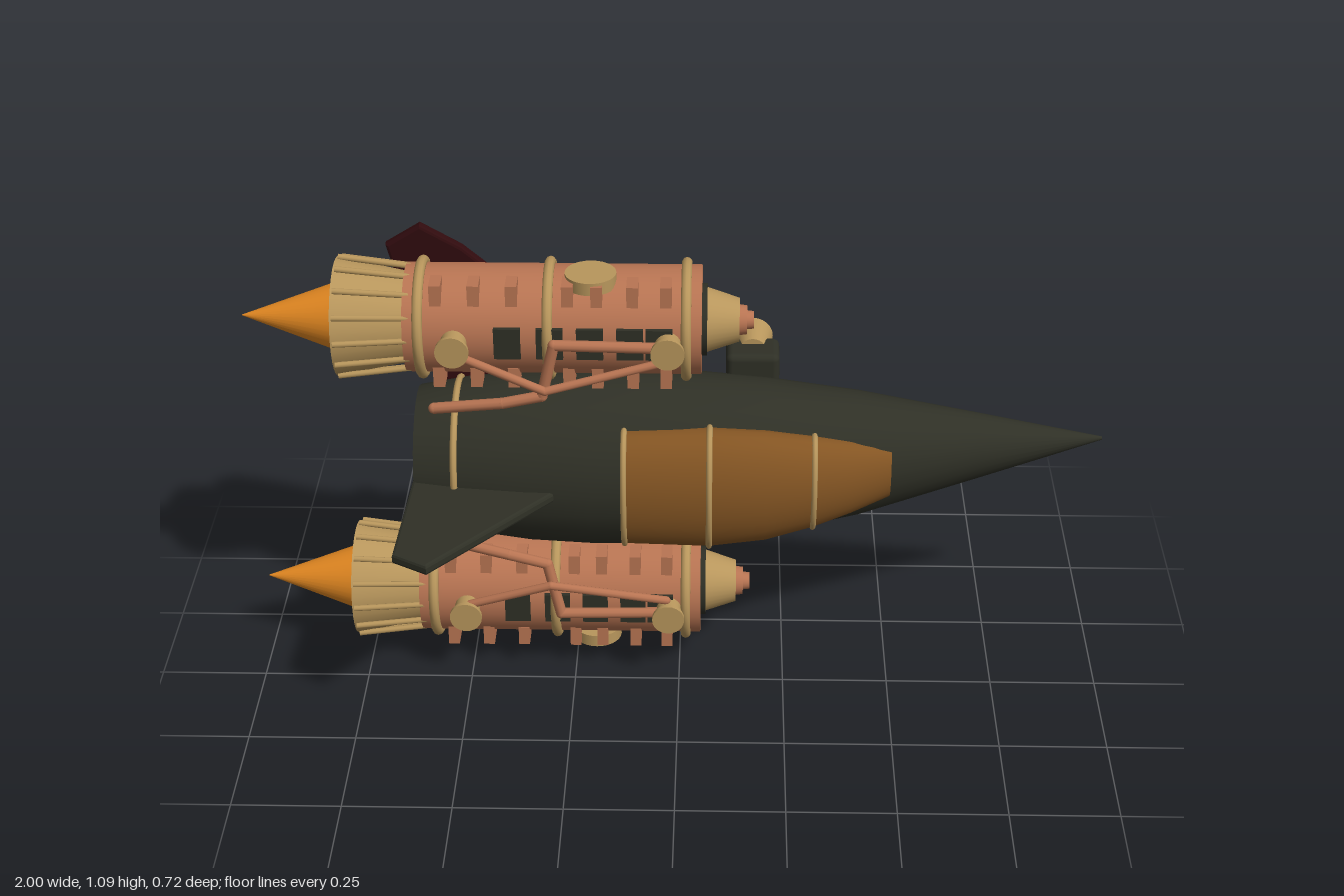
import * as THREE from 'three';
import { RoundedBoxGeometry } from 'three/addons/geometries/RoundedBoxGeometry.js';

const mat = (name, color, side = THREE.FrontSide) => {
  const m = new THREE.MeshStandardMaterial({ color, side });
  m.name = name;
  return m;
};
const dark = mat('dark hull', 0x2f3026);
const gold = mat('brass', 0xb8965c, THREE.DoubleSide);
const copper = mat('copper', 0xb97553);
const red = mat('dark red', 0x300b0e);
const amber = mat('amber glass', 0x845523);
const orange = mat('flame orange', 0xe68a22);

const MID = 0.5475; // mirror plane height

function add(parent, name, geo, material, x = 0, y = 0, z = 0) {
  const m = new THREE.Mesh(geo, material);
  m.name = name;
  m.position.set(x, y, z);
  parent.add(m);
  return m;
}

// Frustum along x, radius r0 at x0 and r1 at x1 (x0 < x1)
function frustumX(x0, r0, x1, r1, open = false) {
  return new THREE.CylinderGeometry(r1, r0, x1 - x0, 32, 1, open)
    .rotateZ(-Math.PI / 2).translate((x0 + x1) / 2, 0, 0);
}

// Frustum along z
function frustumZ(z0, r0, z1, r1) {
  return new THREE.CylinderGeometry(r1, r0, z1 - z0, 24)
    .rotateX(Math.PI / 2).translate(0, 0, (z0 + z1) / 2);
}

// Straight bar between two points
function rod(parent, name, a, b, r, material) {
  const p = new THREE.Vector3(...a), q = new THREE.Vector3(...b), d = q.clone().sub(p);
  const m = add(parent, name, new THREE.CylinderGeometry(r, r, d.length(), 10), material);
  m.position.copy(p).add(q).multiplyScalar(0.5);
  m.quaternion.setFromUnitVectors(new THREE.Vector3(0, 1, 0), d.normalize());
}

// Bent pipe with rounded joints
function pipe(parent, name, pts, r) {
  pts.forEach((p, i) => {
    add(parent, name + 'Joint', new THREE.SphereGeometry(r, 12, 8), copper, ...p);
    if (i) rod(parent, name, pts[i - 1], p, r, copper);
  });
}

// Skin over elliptical sections [x, centreZ, radiusY, radiusZ], closed at the rear
function loft(sections, n) {
  const pos = [], idx = [];
  const ring = ([x, cz, ry, rz]) => {
    for (let j = 0; j < n; j++) {
      const a = (j / n) * Math.PI * 2;
      pos.push(x, MID + ry * Math.cos(a), cz + rz * Math.sin(a));
    }
  };
  sections.forEach(ring);
  for (let i = 0; i < sections.length - 1; i++) {
    for (let j = 0; j < n; j++) {
      const a = i * n + j, b = i * n + (j + 1) % n;
      idx.push(a, b, a + n, b, b + n, a + n);
    }
  }
  // flat end caps with their own vertices
  [sections[0], sections[sections.length - 1]].forEach((s, end) => {
    const o = pos.length / 3;
    ring(s);
    for (let j = 1; j < n - 1; j++) {
      if (end) idx.push(o, o + j, o + j + 1);
      else idx.push(o, o + j + 1, o + j);
    }
  });
  const g = new THREE.BufferGeometry();
  g.setAttribute('position', new THREE.Float32BufferAttribute(pos, 3));
  g.setIndex(idx);
  g.computeVertexNormals();
  return g;
}

// Elliptical band round a section
function band([x, cz, ry, rz], r) {
  const pts = [];
  for (let j = 0; j < 24; j++) {
    const a = (j / 24) * Math.PI * 2;
    pts.push(new THREE.Vector3(x, MID + ry * Math.cos(a), cz + rz * Math.sin(a)));
  }
  return new THREE.TubeGeometry(new THREE.CatmullRomCurve3(pts, true), 48, r, 8, true);
}

function plate(points, thick) {
  const bevel = 0.007;
  return new THREE.ExtrudeGeometry(new THREE.Shape(points.map(p => new THREE.Vector2(...p))), {
    depth: thick - 2 * bevel, bevelThickness: bevel, bevelSize: bevel, bevelOffset: -bevel, bevelSegments: 2,
  }).translate(0, 0, bevel - thick / 2);
}

// Engine pod along x; s = +1 upper, -1 lower
function engine(s) {
  const g = new THREE.Group();
  g.name = s > 0 ? 'upperEngine' : 'lowerEngine';
  g.position.set(0, MID + s * 0.3575, -0.148);
  add(g, 'engineBody', frustumX(-0.62, 0.125, 0.05, 0.125), copper);
  for (const x of [-0.585, -0.295, 0.015]) {
    add(g, 'engineBand', new THREE.TorusGeometry(0.129, 0.012, 10, 40).rotateY(Math.PI / 2), gold, x);
  }
  // front cap
  add(g, 'capSeal', frustumX(0.045, 0.083, 0.062, 0.083), dark);
  add(g, 'capCone', frustumX(0.05, 0.078, 0.135, 0.05), gold);
  add(g, 'capTip', frustumX(0.13, 0.036, 0.152, 0.033), copper);
  add(g, 'capButton', frustumX(0.15, 0.022, 0.168, 0.02), copper);
  // nozzle, ribs and flame
  add(g, 'nozzle', frustumX(-0.78, 0.136, -0.62, 0.104, true), gold);
  add(g, 'nozzleLip', new THREE.RingGeometry(0.108, 0.136, 32).rotateY(-Math.PI / 2), gold, -0.78);
  add(g, 'nozzleFloor', new THREE.CircleGeometry(0.12, 32).rotateY(-Math.PI / 2), amber, -0.765);
  add(g, 'flame', frustumX(-1, 0.001, -0.765, 0.085), orange);
  for (let i = 0; i < 14; i++) {
    const a = ((i + 0.5) / 14) * Math.PI * 2, c = Math.cos(a), n = Math.sin(a);
    rod(g, 'nozzleRib', [-0.6, 0.117 * c, 0.117 * n], [-0.775, 0.138 * c, 0.138 * n], 0.007, gold);
  }
  // vents and cooling fins
  for (const x of [-0.385, -0.29, -0.2, -0.11, -0.045]) {
    add(g, 'vent', new THREE.BoxGeometry(0.06, 0.075, 0.03), dark, x, 0, 0.114);
  }
  for (const x of [-0.545, -0.46, -0.375, -0.25, -0.185, -0.105, -0.03]) {
    for (const k of [1, -1]) {
      add(g, 'coolingFin', new THREE.BoxGeometry(0.026, 0.05, 0.055), copper, x, k * 0.103, 0.07);
    }
  }
  // round hatch on the outer side
  add(g, 'hatch', new THREE.CylinderGeometry(0.058, 0.058, 0.03, 28), gold, -0.2, s * 0.12, 0.035);
  // pipe fittings
  for (const x of [-0.505, -0.025]) {
    add(g, 'fitting', frustumZ(0.1, 0.03, 0.165, 0.03), gold, x);
    add(g, 'fittingFlange', frustumZ(0.163, 0.038, 0.173, 0.038), gold, x);
  }
  // feed pipes towards the hull
  pipe(g, 'feedPipe', [[-0.04, 0, 0.14], [-0.28, s * 0.005, 0.14], [-0.31, -s * 0.13, 0.132],
    [-0.4, -s * 0.152, 0.128], [-0.56, -s * 0.18, 0.105]], 0.013);
  pipe(g, 'crossPipe', [[-0.03, -s * 0.035, 0.14], [-0.3, -s * 0.095, 0.172], [-0.5, -s * 0.02, 0.145]], 0.01);
  return g;
}

export function createModel() {
  const model = new THREE.Group();
  model.name = 'rocketShip';

  // hull
  add(model, 'hull', loft([
    [-0.61, -0.145, 0.16, 0.157], [-0.5, -0.14, 0.184, 0.174], [-0.35, -0.137, 0.204, 0.187],
    [-0.2, -0.136, 0.212, 0.191], [0, -0.138, 0.209, 0.188], [0.2, -0.143, 0.19, 0.169],
    [0.42, -0.163, 0.15, 0.136], [0.7, -0.2, 0.08, 0.073], [1, -0.24, 0.004, 0.004]], 24), dark);
  add(model, 'hullBand', band([-0.515, -0.14, 0.182, 0.173], 0.008), gold);

  // canopy with its frames
  const canopy = [
    [-0.125, 0, 0.147, 0.082], [0.07, -0.002, 0.152, 0.09], [0.2, -0.01, 0.141, 0.077],
    [0.31, -0.03, 0.117, 0.069], [0.4, -0.053, 0.093, 0.055], [0.49, -0.08, 0.065, 0.036]];
  add(model, 'canopy', loft(canopy, 28), amber);
  for (const i of [0, 1, 3]) add(model, 'canopyFrame', band(canopy[i], 0.007), gold);

  // fin on the canopy side
  add(model, 'centreFin', plate([[-0.61, -0.1], [-0.625, 0.31], [-0.545, 0.357], [-0.28, 0.045], [-0.2, -0.1]], 0.026)
    .rotateX(Math.PI / 2), dark, 0, MID - 0.002, 0);

  for (const s of [1, -1]) {
    model.add(engine(s));
    // swept side fins through the engines
    add(model, 'sideFin', plate([[-0.56, s * 0.1], [-0.61, s * 0.23], [-0.675, s * 0.495], [-0.595, s * 0.545],
      [-0.5, s * 0.49], [-0.17, s * 0.205], [-0.17, s * 0.1]], 0.028), red, 0, MID, -0.247);
    // small manoeuvring thrusters
    add(model, 'thrusterBlock', new RoundedBoxGeometry(0.125, 0.088, 0.1, 3, 0.016), dark, 0.168, MID + s * 0.179, -0.269);
    add(model, 'thrusterNozzle', frustumZ(-0.358, 0.048, -0.28, 0.033), gold, 0.168, MID + s * 0.203, 0);
  }
  return model;
}
